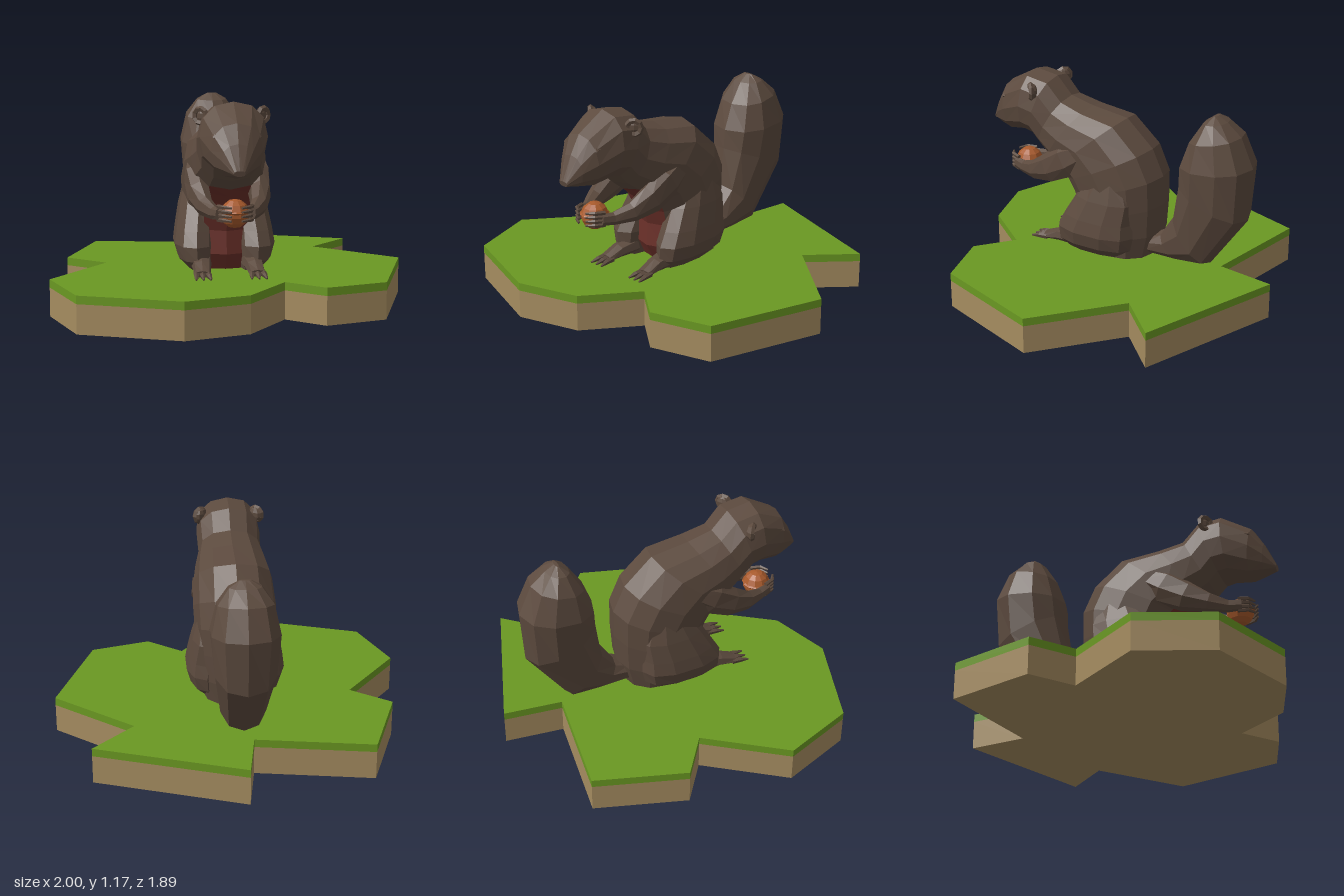
import * as THREE from 'three';

const V = (x, y, z) => new THREE.Vector3(x, y, z);
const mat = (name, color) => {
  const m = new THREE.MeshStandardMaterial({ color });
  m.name = name;
  return m;
};

// Faceted normals for any geometry
function facet(geo) {
  const g = geo.index ? geo.toNonIndexed() : geo;
  g.computeVertexNormals();
  return g;
}

// Skin a list of sections {c: centre, u: up radius, v: side radius}; from/to pick a range of sides
function loft(sections, sides, from = 0, to = sides, caps = true) {
  const pw = (t) => Math.sign(t) * Math.pow(Math.abs(t), 0.88);
  const point = (s, j) => {
    const a = (j % sides) / sides * Math.PI * 2;
    return s.c.clone().addScaledVector(s.u, pw(Math.cos(a))).addScaledVector(s.v, pw(Math.sin(a)));
  };
  const out = [];
  const tri = (...pts) => pts.forEach((p) => out.push(p.x, p.y, p.z));
  const last = sections.length - 1;
  for (let j = from; j < to; j++) {
    for (let i = 0; i < last; i++) {
      const a = point(sections[i], j), b = point(sections[i + 1], j);
      const c = point(sections[i + 1], j + 1), d = point(sections[i], j + 1);
      tri(a, b, c);
      tri(a, c, d);
    }
    if (caps) {
      tri(sections[0].c, point(sections[0], j), point(sections[0], j + 1));
      tri(sections[last].c, point(sections[last], j + 1), point(sections[last], j));
    }
  }
  const g = new THREE.BufferGeometry();
  g.setAttribute('position', new THREE.Float32BufferAttribute(out, 3));
  g.computeVertexNormals();
  return g;
}

// Section on the centre plane from two outline points (z, y) and a half width
const profile = ([z1, y1, z2, y2, w]) => ({
  c: V(0, (y1 + y2) / 2, (z1 + z2) / 2),
  u: V(0, (y1 - y2) / 2, (z1 - z2) / 2),
  v: V(w, 0, 0),
});

// Limb along points [x, y, z, half height, half width]
function limb(path, sides = 7) {
  const pts = path.map((p) => V(p[0], p[1], p[2]));
  return loft(pts.map((c, i) => {
    const t = pts[Math.min(i + 1, pts.length - 1)].clone().sub(pts[Math.max(i - 1, 0)]).normalize();
    const u = V(0, 1, 0).addScaledVector(t, -t.y).normalize();
    const v = u.clone().cross(t);
    return { c, u: u.multiplyScalar(path[i][3]), v: v.multiplyScalar(path[i][4] ?? path[i][3]) };
  }), sides);
}

export function createModel() {
  const root = new THREE.Group();
  root.name = 'squirrelOnGrass';
  const fur = mat('fur', 0x5c4a3e);
  const belly = mat('bellyRed', 0x6b3029);
  const nutMat = mat('nutBrown', 0xa85a2c);
  const grass = mat('grass', 0x6a9822);
  const earth = mat('earth', 0xa58c60);

  const squirrel = new THREE.Group();
  squirrel.name = 'squirrel';
  squirrel.position.x = -0.03;
  root.add(squirrel);
  const add = (name, geo, material, parent = squirrel) => {
    const m = new THREE.Mesh(geo, material);
    m.name = name;
    parent.add(m);
    return m;
  };

  // Ground slab: earth below, thin grass layer above
  const outline = [
    [-0.73, -0.73], [-0.08, -0.62], [-0.03, -0.95], [0.79, -0.65], [0.56, -0.41], [1, -0.03],
    [0.79, 0.61], [0.45, 0.71], [0.25, 0.55], [0.03, 0.84], [-0.32, 0.945], [-0.86, 0.75],
    [-1, 0.345], [-0.685, -0.065], [-0.905, -0.235],
  ];
  const shape = new THREE.Shape(outline.map(([x, z]) => new THREE.Vector2(x, -z)));
  const slab = (name, y, depth, material) => {
    const g = new THREE.ExtrudeGeometry(shape, { depth, bevelEnabled: false });
    g.rotateX(-Math.PI / 2).translate(0, y, 0);
    add(name, facet(g), material, root);
  };
  slab('earthLayer', 0, 0.16, earth);
  slab('grassLayer', 0.16, 0.045, grass);

  // Torso and head in one skin: back/crown point, front/chin point, half width
  const trunk = [
    [-0.22, 0.21, 0.2, 0.21, 0.19], [-0.26, 0.35, 0.25, 0.3, 0.21], [-0.27, 0.52, 0.24, 0.43, 0.22],
    [-0.27, 0.69, 0.27, 0.52, 0.23], [-0.2, 0.84, 0.31, 0.59, 0.235], [-0.035, 0.99, 0.37, 0.64, 0.225],
    [0.19, 1.02, 0.43, 0.69, 0.205], [0.335, 1.055, 0.5, 0.745, 0.18], [0.43, 1.155, 0.55, 0.8, 0.185],
    [0.57, 1.175, 0.6, 0.81, 0.18], [0.74, 1.08, 0.71, 0.79, 0.135], [0.8, 0.98, 0.79, 0.805, 0.085],
    [0.86, 0.85, 0.855, 0.82, 0.03],
  ].map(profile);
  const split = 7;
  add('torso', loft(trunk.slice(0, split), 12, -5 + 12, 17), fur);
  add('bellyPatch', loft(trunk.slice(0, split), 12, 5, 7), belly);
  add('head', loft(trunk.slice(split - 1), 12), fur);

  // Bushy tail: outer point, inner point, half width
  const tail = [
    [-0.2, 0.22, -0.2, 0.33, 0.08], [-0.4, 0.225, -0.28, 0.37, 0.1], [-0.58, 0.24, -0.36, 0.495, 0.13],
    [-0.8, 0.55, -0.39, 0.71, 0.17], [-0.82, 0.855, -0.4, 0.82, 0.19], [-0.745, 1.02, -0.455, 0.965, 0.155],
    [-0.66, 1.09, -0.53, 1.08, 0.09], [-0.605, 1.12, -0.585, 1.12, 0.03],
  ].map(profile);
  add('tail', loft(tail, 10), fur);

  for (const s of [1, -1]) {
    const side = s > 0 ? 'left' : 'right';

    // Thigh: stacked rings [y, x, half width, z, half length]
    const thigh = [
      [0.21, 0.14, 0.06, 0.09, 0.18], [0.27, 0.165, 0.095, 0.08, 0.235], [0.35, 0.17, 0.113, 0.07, 0.245],
      [0.43, 0.165, 0.107, 0.05, 0.22], [0.55, 0.15, 0.1, 0.01, 0.19], [0.67, 0.14, 0.08, -0.01, 0.12],
    ].map(([y, x, w, z, l]) => ({ c: V(s * x, y, z), u: V(0, 0, -l), v: V(w, 0, 0) }));
    add(side + 'Thigh', loft(thigh, 10), fur);

    // Foot with three toes
    add(side + 'Foot', limb([
      [s * 0.14, 0.26, 0.22, 0.05, 0.06], [s * 0.145, 0.25, 0.33, 0.037, 0.05],
      [s * 0.15, 0.228, 0.42, 0.02, 0.045],
    ]), fur);
    for (let k = -1; k <= 1; k++) {
      const x = s * 0.15 + k * 0.03;
      add(side + 'Toe', limb([
        [x, 0.228, 0.4, 0.018], [x + k * 0.005, 0.225, 0.45, 0.015], [x + k * 0.01, 0.215, 0.5, 0.005],
      ], 5), fur);
    }

    // Arm bent forward to the nut
    add(side + 'Arm', limb([
      [s * 0.15, 0.8, 0.15, 0.07, 0.07], [s * 0.165, 0.73, 0.26, 0.1, 0.07], [s * 0.165, 0.66, 0.38, 0.085, 0.06],
      [s * 0.145, 0.615, 0.5, 0.055, 0.045], [s * 0.105, 0.595, 0.6, 0.036, 0.03], [s * 0.085, 0.6, 0.67, 0.032, 0.022],
    ]), fur);
    for (let k = 0; k < 4; k++) {
      const y = 0.568 + k * 0.023;
      add(side + 'Finger', limb([
        [s * 0.09, y, 0.65, 0.012], [s * 0.07, y + 0.004, 0.705, 0.011], [s * 0.027, y + 0.002, 0.732, 0.006],
      ], 5), fur);
    }

    // Round ear with a raised rim
    const ear = new THREE.Group();
    ear.name = side + 'Ear';
    ear.position.set(s * 0.165, 1.095, 0.5);
    ear.rotation.y = s * 0.7;
    squirrel.add(ear);
    add('earRim', facet(new THREE.TorusGeometry(0.038, 0.016, 5, 9)), fur, ear);
    add('earCup', facet(new THREE.SphereGeometry(0.042, 8, 5).scale(1, 1, 0.5).translate(0, 0, -0.014)), fur, ear);

    // Low eyelid bump
    const eye = add(side + 'Eyelid', facet(new THREE.OctahedronGeometry(0.03, 0).scale(0.5, 0.55, 1)), fur);
    eye.position.set(s * 0.114, 1.01, 0.725);
    eye.rotation.set(0.4, -s * 0.5, 0);
  }

  // Nut with a raised seam
  const nut = new THREE.Group();
  nut.name = 'nut';
  nut.position.set(0, 0.597, 0.64);
  squirrel.add(nut);
  add('nutShell', facet(new THREE.SphereGeometry(0.077, 10, 7)), nutMat, nut);
  add('nutSeam', facet(new THREE.TorusGeometry(0.074, 0.008, 4, 12).rotateX(Math.PI / 2).translate(0, 0.01, 0)), nutMat, nut);

  return root;
}
